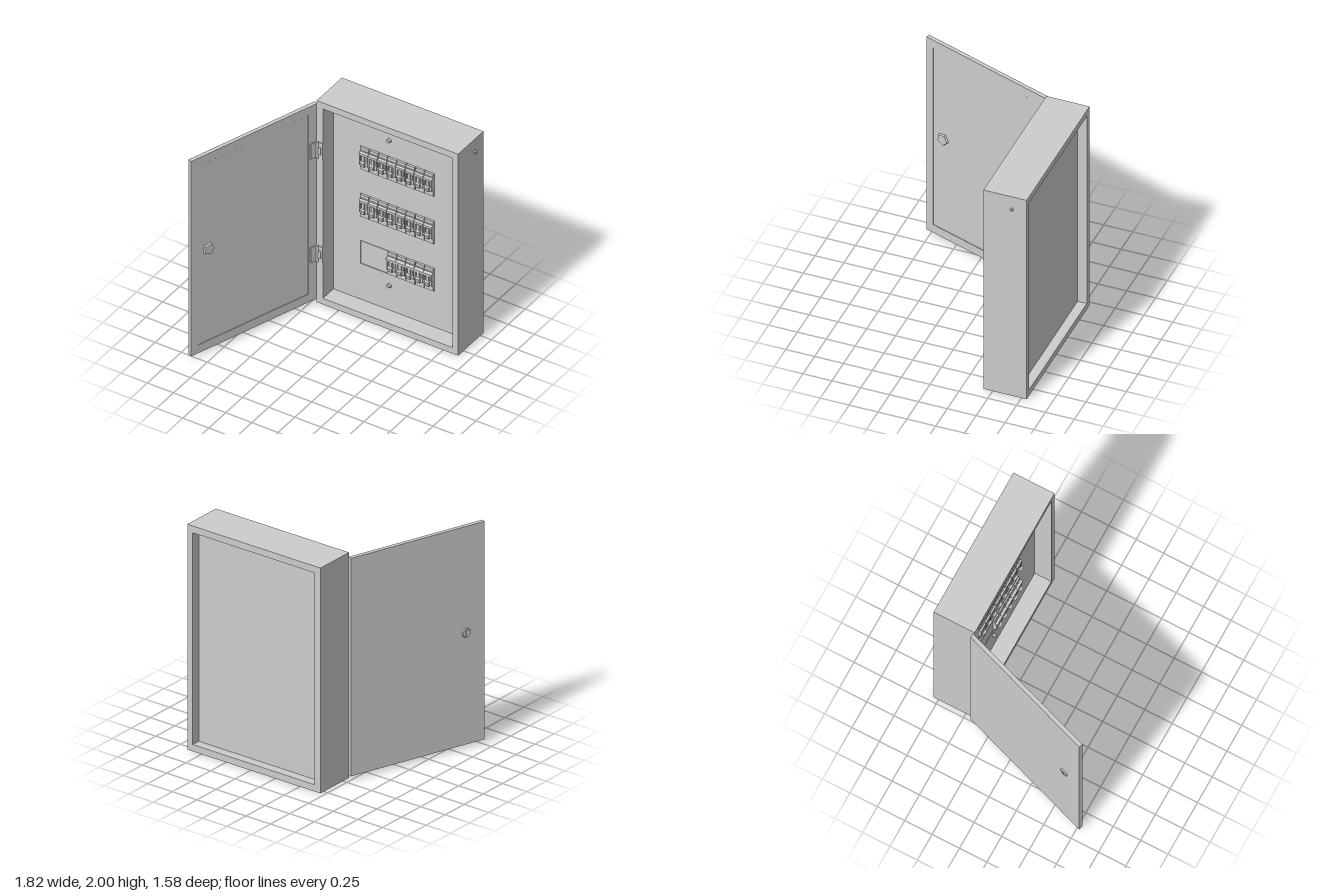
import * as THREE from 'three';

const grey = new THREE.MeshStandardMaterial({ color: 0xcccccc });
grey.name = 'painted steel grey';

function add(parent, name, geometry, x = 0, y = 0, z = 0) {
  const mesh = new THREE.Mesh(geometry, grey);
  mesh.name = name;
  mesh.position.set(x, y, z);
  parent.add(mesh);
  return mesh;
}

// box given by its min and max corners
function block(parent, name, x0, x1, y0, y1, z0, z1) {
  return add(parent, name, new THREE.BoxGeometry(x1 - x0, y1 - y0, z1 - z0),
    (x0 + x1) / 2, (y0 + y1) / 2, (z0 + z1) / 2);
}

function rect(Type, x0, x1, y0, y1) {
  return new Type([[x0, y0], [x1, y0], [x1, y1], [x0, y1]].map(p => new THREE.Vector2(...p)));
}

// rectangular sheet with rectangular openings, from z0 to z1
function sheet(parent, name, outer, holes, z0, z1) {
  const shape = rect(THREE.Shape, ...outer);
  for (const h of holes) shape.holes.push(rect(THREE.Path, ...h));
  return add(parent, name, new THREE.ExtrudeGeometry(shape, { depth: z1 - z0, bevelEnabled: false }), 0, 0, z0);
}

// short prism whose axis points along +z
function stud(parent, name, r0, r1, sides, length, x, y, z) {
  const geometry = new THREE.CylinderGeometry(r1, r0, length, sides).rotateX(Math.PI / 2).toNonIndexed();
  geometry.computeVertexNormals();
  return add(parent, name, geometry, x, y, z + length / 2);
}

const PANEL = -0.57, PITCH = 0.088, SLOT = [-0.135, 0.57];
const rows = [{ y: 1.36, first: 0 }, { y: 0.89, first: 0 }, { y: 0.42, first: 3 }];

// stepped breaker side profile: [depth, height]
const profile = [[-0.09, 0.006], [0.012, 0.006], [0.012, 0.058], [0.032, 0.066], [0.032, 0.1],
  [0.02, 0.104], [0.02, 0.155], [0.032, 0.158], [0.032, 0.178], [0.012, 0.186], [0.012, 0.224], [-0.09, 0.224]];

function breaker(x, y) {
  const g = new THREE.Group();
  g.name = 'breaker';
  g.position.set(x, y, PANEL);
  const w = PITCH - 0.006;
  const shape = new THREE.Shape(profile.map(p => new THREE.Vector2(...p)));
  const body = new THREE.ExtrudeGeometry(shape, { depth: w, bevelEnabled: false });
  body.rotateY(-Math.PI / 2).translate(w, 0, 0);
  add(g, 'breakerBody', body, 0.003);
  // toggle with its grip and cheeks
  block(g, 'toggleStem', 0.032, 0.056, 0.095, 0.16, 0.015, 0.036);
  const grip = block(g, 'toggleGrip', 0.024, 0.064, 0.062, 0.105, 0.025, 0.05);
  grip.rotation.x = 0.3;
  for (const cx of [0.004, 0.072]) block(g, 'toggleCheek', cx, cx + 0.012, 0.1, 0.16, 0.015, 0.032);
  block(g, 'topRib', 0.003, PITCH - 0.003, 0.19, 0.197, 0.01, 0.018);
  return g;
}

export function createModel() {
  const model = new THREE.Group();
  model.name = 'electricalCabinet';

  // cabinet shell, open at front and back around recessed sheets
  const cabinet = new THREE.Group();
  cabinet.name = 'cabinet';
  model.add(cabinet);
  sheet(cabinet, 'cabinetShell', [-0.46, 0.895, 0, 2], [[-0.4, 0.84, 0.06, 1.94]], -0.795, -0.42);
  block(cabinet, 'backSheet', -0.4, 0.84, 0.06, 1.94, -0.715, -0.7);
  sheet(cabinet, 'frontPanel', [-0.395, 0.835, 0.066, 1.934],
    rows.map(r => [...SLOT, r.y, r.y + 0.23]), PANEL - 0.012, PANEL);
  for (const y of [0.31, 1.75]) stud(cabinet, 'panelBolt', 0.022, 0.014, 6, 0.025, 0.14, y, PANEL);
  const sideBolt = stud(cabinet, 'sideBolt', 0.016, 0.01, 6, 0.018, 0.904, 1.875, -0.675);
  sideBolt.rotation.y = Math.PI / 2;

  // breaker rows, with a blanking plate in the unused slots
  for (const r of rows) {
    const row = new THREE.Group();
    row.name = 'breakerRow';
    for (let i = r.first; i < 8; i++) row.add(breaker(SLOT[0] + i * PITCH, r.y));
    if (r.first) {
      const x = SLOT[0] + r.first * PITCH;
      block(row, 'blankingPlate', SLOT[0] + 0.004, x, r.y + 0.005, r.y + 0.225, PANEL - 0.012, PANEL - 0.002);
      block(row, 'linkBar', x, SLOT[1] - 0.004, r.y + 0.158, r.y + 0.178, PANEL + 0.025, PANEL + 0.04);
    }
    model.add(row);
  }

  // open door: local z is its inner face, local -x runs to the free edge
  const door = new THREE.Group();
  door.name = 'door';
  door.position.set(-0.462, 0, -0.43);
  door.rotation.y = 1.241;
  model.add(door);
  const inset = [-1.216, -0.085, 0.11, 1.885];
  sheet(door, 'doorRim', [-1.287, 0, 0.03, 1.965], [inset], -0.03, 0);
  block(door, 'doorSkin', -1.287, 0, 0.03, 1.965, -0.035, -0.03);
  block(door, 'doorInnerPanel', inset[0] + 0.003, inset[1] - 0.003, inset[2] + 0.003, inset[3] - 0.003, -0.03, -0.003);
  stud(door, 'lockNut', 0.057, 0.052, 5, 0.018, -1.11, 1.02, -0.003).rotation.z = 0.2;
  const lock = new THREE.Group();
  lock.name = 'outerLock';
  lock.position.set(-1.11, 1.02, -0.035);
  lock.rotation.y = Math.PI;
  stud(lock, 'lockBarrel', 0.042, 0.036, 12, 0.01, 0, 0, 0);
  block(lock, 'lockKey', -0.008, 0.008, -0.026, 0.026, 0.01, 0.016);
  door.add(lock);

  // hinges: cabinet leaf, knuckle and door leaf
  for (const y of [0.41, 1.44]) {
    const hinge = new THREE.Group();
    hinge.name = 'hinge';
    hinge.position.y = y;
    block(hinge, 'cabinetLeaf', -0.452, -0.4, 0, 0.16, -0.42, -0.412);
    block(hinge, 'leafReturn', -0.408, -0.4, 0, 0.16, -0.5, -0.412);
    block(hinge, 'leafClip', -0.435, -0.412, 0.045, 0.115, -0.412, -0.402);
    add(hinge, 'knuckle', new THREE.CylinderGeometry(0.012, 0.012, 0.16, 10), -0.45, 0.08, -0.414);
    model.add(hinge);
    block(door, 'doorLeaf', -0.07, -0.015, y + 0.005, y + 0.155, 0, 0.009);
  }
  return model;
}
